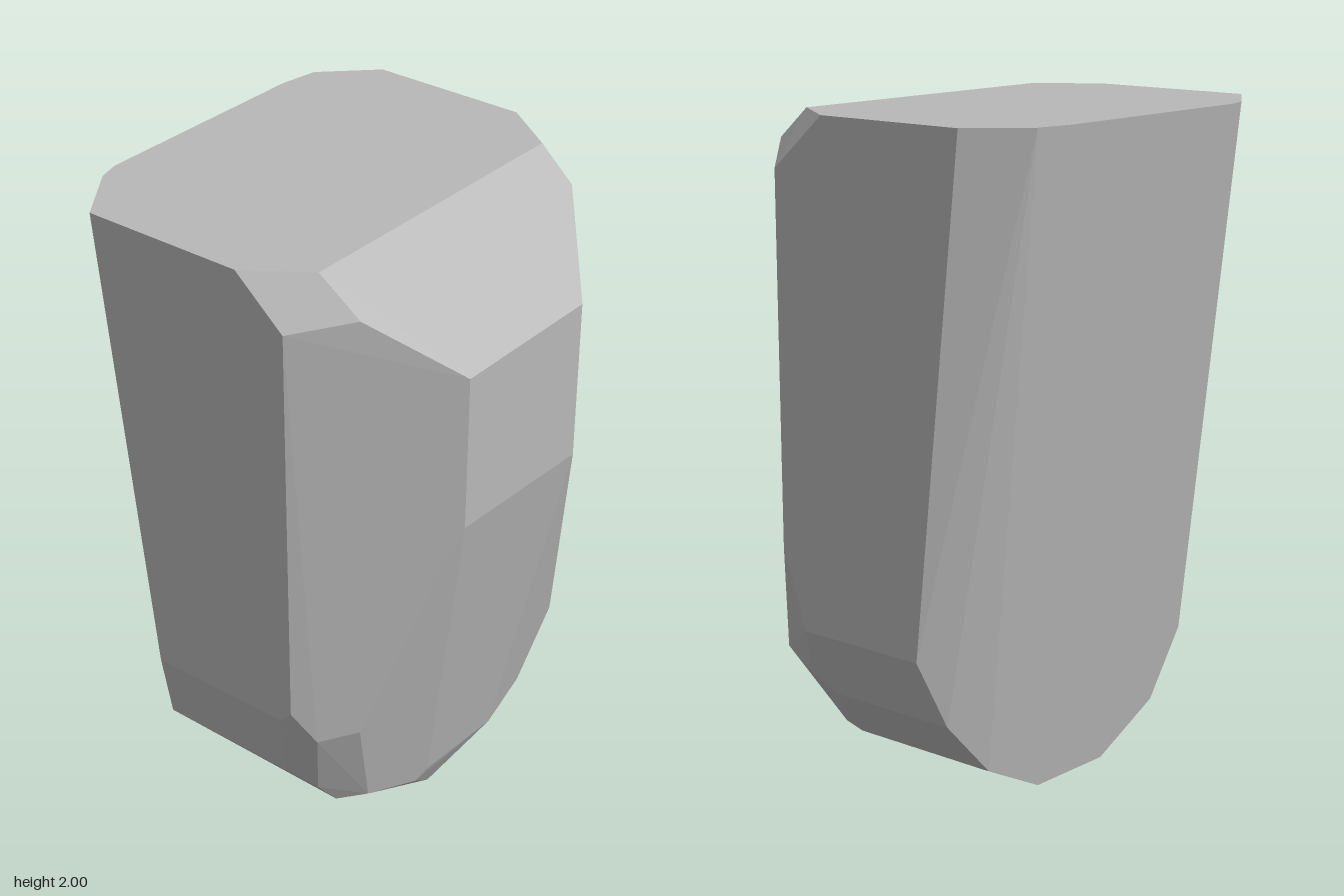
import * as THREE from 'three';
import { ConvexGeometry } from 'three/addons/geometries/ConvexGeometry.js';

export function createModel() {
  const group = new THREE.Group();
  group.name = 'rock';
  const stone = new THREE.MeshStandardMaterial({ color: 0xb8b8b8, flatShading: true });
  stone.name = 'stone grey';

  // flat top outline as [x, z], at y = 2
  const top = [
    [-0.6, 0.37], [-0.58, 0.44], [-0.45, 0.625], [0.07, 0.625], [0.25, 0.5],
    [0.25, -0.5], [0.07, -0.625], [-0.43, -0.625], [-0.58, -0.48], [-0.6, -0.36],
  ].map(([x, z]) => [x, 2, z]);

  // bevelled shoulder and steep side on the model's left
  const shoulder = [
    [0.23, 1.86, 0.625], [0.38, 1.896, 0.49], [0.6, 1.72, 0.305], [0.6, 1.25, 0.31],
    [0.255, 1.84, -0.625], [0.365, 1.908, -0.49], [0.6, 1.72, -0.215], [0.6, 1.23, -0.21],
  ];

  // front facets curving in toward the base
  const lowerFront = [
    [-0.28, 0.565, 0.625], [0.19, 0.57, 0.625], [0.23, 0.61, 0.625],
    [0.29, 0.51, 0.58], [0.38, 0.54, 0.495],
    [-0.305, 0.32, 0.56], [0.15, 0.32, 0.56], [0.24, 0.275, 0.52],
    [0.26, 0.2, 0.46], [0.335, 0.22, 0.4], [-0.325, 0.13, 0.39], [0.21, 0.13, 0.39],
  ];

  // back facets curving in toward the base
  const lowerBack = [
    [-0.27, 0.5, -0.625], [0.165, 0.5, -0.625], [0.25, 0.74, -0.625],
    [0.215, 0.34, -0.55], [0.345, 0.39, -0.52],
    [-0.3, 0.29, -0.53], [0.13, 0.29, -0.53],
    [-0.325, 0.12, -0.38], [0.18, 0.12, -0.38], [0.24, 0.14, -0.385], [0.34, 0.195, -0.36],
  ];

  // small base and the facet beside it
  const base = [
    [-0.31, 0, 0.16], [0.2, 0, 0.16], [0.28, 0, 0.03], [0.2, 0, -0.14], [-0.31, 0, -0.14],
    [0.36, 0.15, 0.2], [0.374, 0.18, 0.16], [0.374, 0.165, -0.16], [0.36, 0.145, -0.18],
  ];

  const points = [...top, ...shoulder, ...lowerFront, ...lowerBack, ...base]
    .map((p) => new THREE.Vector3(...p));
  const rock = new THREE.Mesh(new ConvexGeometry(points), stone);
  rock.name = 'rockBody';
  group.add(rock);
  return group;
}
